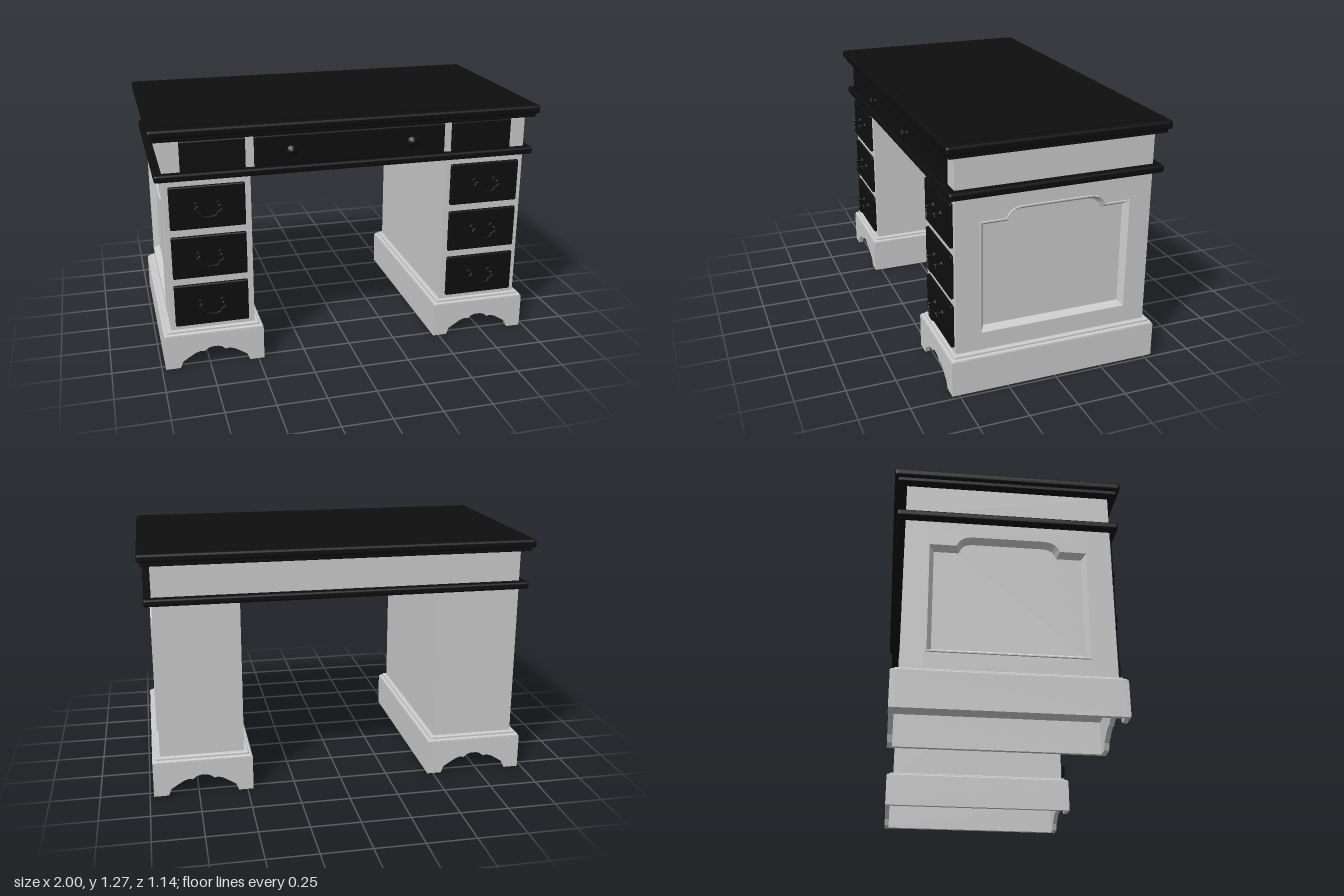
import * as THREE from 'three';
import { RoundedBoxGeometry } from 'three/addons/geometries/RoundedBoxGeometry.js';

const ZC = -0.005; // middle of the carcass in z

export function createModel() {
  const grey = new THREE.MeshStandardMaterial({ color: 0xcccccc });
  const greyThin = new THREE.MeshStandardMaterial({ color: 0xcccccc, side: THREE.DoubleSide });
  const black = new THREE.MeshStandardMaterial({ color: 0x0e0e0e });

  const add = (parent, name, geometry, material) => {
    const mesh = new THREE.Mesh(geometry, material);
    mesh.name = name;
    parent.add(mesh);
    return mesh;
  };
  // Box from its limits, with optional rounded edges
  const box = (parent, name, material, [x0, x1], [y0, y1], [z0, z1], r = 0) => {
    const size = [x1 - x0, y1 - y0, z1 - z0];
    const g = r ? new RoundedBoxGeometry(...size, 2, r) : new THREE.BoxGeometry(...size);
    g.translate((x0 + x1) / 2, (y0 + y1) / 2, (z0 + z1) / 2);
    return add(parent, name, g, material);
  };

  // Drawer front with a raised bead near its edge
  const drawerFront = (parent, name, xs, ys, zs) => {
    box(parent, name, black, xs, ys, zs, 0.007);
    const t = 0.006, m = 0.018, z = [zs[1] - 0.002, zs[1] + 0.003];
    const [x0, x1] = [xs[0] + m, xs[1] - m], [y0, y1] = [ys[0] + m, ys[1] - m];
    for (const y of [y0, y1 - t]) box(parent, name + 'Bead', black, [x0, x1], [y, y + t], z);
    for (const x of [x0, x1 - t]) box(parent, name + 'Bead', black, [x, x + t], [y0, y1], z);
  };

  // Swan neck drop handle on two posts
  const dropHandle = (parent, x, y, z) => {
    const handle = new THREE.Group();
    handle.name = 'dropHandle';
    handle.position.set(x, y, z);
    for (const s of [-1, 1]) {
      const rose = add(handle, 'handleRose', new THREE.CylinderGeometry(0.013, 0.016, 0.006, 16), black);
      const post = add(handle, 'handlePost', new THREE.CylinderGeometry(0.005, 0.005, 0.03, 10), black);
      const tip = add(handle, 'handleTip', new THREE.SphereGeometry(0.009, 12, 8), black);
      rose.rotation.x = post.rotation.x = Math.PI / 2;
      rose.position.set(s * 0.055, 0, 0.002);
      post.position.set(s * 0.055, 0, 0.015);
      tip.position.set(s * 0.055, 0, 0.03);
    }
    const half = [[0.055, 0], [0.066, -0.012], [0.056, -0.026], [0.043, -0.03], [0.036, -0.044], [0.018, -0.05]];
    const pts = [...half, ...half.map(([px, py]) => [-px, py]).reverse()]
      .map(([px, py]) => new THREE.Vector3(px, py, 0.028 - py * 0.2));
    add(handle, 'handleBail', new THREE.TubeGeometry(new THREE.CatmullRomCurve3(pts), 48, 0.005, 8), black);
    parent.add(handle);
  };

  // Arched panel outline in (z, y), counter-clockwise from +x
  const halfOutline = [[0.385, 0.295], [0.385, 0.87], [0.255, 0.87], [0.247, 0.885],
    [0.232, 0.903], [0.21, 0.916], [0.18, 0.922]];
  const outline = [...halfOutline, ...halfOutline.map(([z, y]) => [-z, y]).reverse()]
    .map(([z, y]) => new THREE.Vector2(z, y));
  const inset = (pts, d) => pts.map((p, i) => {
    const n = pts.length;
    const a = p.clone().sub(pts[(i + n - 1) % n]).normalize();
    const b = pts[(i + 1) % n].clone().sub(p).normalize();
    const na = new THREE.Vector2(-a.y, a.x), nb = new THREE.Vector2(-b.y, b.x);
    return p.clone().addScaledVector(na.clone().add(nb), d / (1 + na.dot(nb)));
  });
  // Place a flat (z, y) shape in the plane at x, facing +x
  const sideFace = (shape, x) => new THREE.ShapeGeometry(shape)
    .scale(-1, 1, 1).rotateY(Math.PI / 2).translate(x, 0, ZC);

  // Moulding: strips between successive insets of the outline
  const panelMoulding = () => {
    const rings = [[0, 0.938], [0, 0.949], [0.005, 0.949], [0.009, 0.942], [0.026, 0.915]];
    const pos = [];
    for (let k = 0; k < rings.length - 1; k++) {
      const [a, b] = [rings[k], rings[k + 1]].map(([d, x]) =>
        inset(outline, d).map((p) => [x, p.y, p.x + ZC]));
      a.forEach((p, i) => {
        const j = (i + 1) % a.length;
        pos.push(...p, ...b[i], ...a[j], ...a[j], ...b[i], ...b[j]);
      });
    }
    const g = new THREE.BufferGeometry();
    g.setAttribute('position', new THREE.Float32BufferAttribute(pos, 3));
    g.computeVertexNormals();
    return g;
  };

  // Scalloped end board of the plinth
  const endBoard = () => {
    const cut = [[0.18, 0], [0.166, 0.035], [0.155, 0.042], [0.13, 0.058], [0.1, 0.076],
      [0.075, 0.084], [0.055, 0.08], [0.035, 0.096], [0.015, 0.102]];
    const pts = [[-0.255, 0], [-0.255, 0.18], [0.255, 0.18], [0.255, 0],
      ...cut, ...cut.map(([x, y]) => [-x, y]).reverse()];
    const shape = new THREE.Shape(pts.map(([x, y]) => new THREE.Vector2(x, y)));
    return new THREE.ExtrudeGeometry(shape, { depth: 0.025, bevelEnabled: false });
  };

  const pedestal = () => {
    const g = new THREE.Group();
    // Carcass with a recessed panel on the outer side
    box(g, 'pedestalCarcass', grey, [0.51, 0.91], [0.2, 1.0], [-0.505, 0.5]);
    for (const z of [[-0.505, -0.4], [0.39, 0.5]]) box(g, 'sideStile', grey, [0.91, 0.94], [0.2, 1.0], z);
    const frame = new THREE.Shape([[-0.395, 0.2], [0.395, 0.2], [0.395, 1], [-0.395, 1]]
      .map(([z, y]) => new THREE.Vector2(z, y)));
    frame.holes.push(new THREE.Path(outline));
    add(g, 'sideFrame', sideFace(frame, 0.94), greyThin);
    add(g, 'sideMoulding', panelMoulding(), greyThin);
    add(g, 'sidePanel', sideFace(new THREE.Shape(inset(outline, 0.026)), 0.915), greyThin);

    // Hollow plinth on scalloped feet
    for (const z of [0.51, -0.545]) add(g, 'plinthEnd', endBoard(), grey).position.set(0.725, 0, z);
    for (const x of [0.47, 0.96]) box(g, 'plinthSide', grey, [x, x + 0.02], [0, 0.18], [-0.52, 0.51]);
    box(g, 'plinthCap', grey, [0.472, 0.978], [0.17, 0.19], [-0.543, 0.533], 0.008);
    box(g, 'plinthMoulding', grey, [0.488, 0.962], [0.18, 0.203], [-0.527, 0.518], 0.007);

    // Three drawers with drop handles
    for (const y of [0.225, 0.485, 0.745]) {
      drawerFront(g, 'pedestalDrawer', [0.54, 0.915], [y, y + 0.222], [0.495, 0.516]);
      dropHandle(g, 0.7275, y + 0.125, 0.516);
    }
    // Small upper drawer
    drawerFront(g, 'upperSideDrawer', [0.535, 0.852], [1.04, 1.196], [0.495, 0.527]);
    return g;
  };

  const desk = new THREE.Group();
  desk.name = 'pedestalDesk';
  const left = pedestal(), right = pedestal();
  left.name = 'leftPedestal';
  right.name = 'rightPedestal';
  right.scale.x = -1;
  desk.add(left, right);

  // Frieze and the moulding beneath it
  box(desk, 'waistMoulding', black, [-0.98, 0.98], [1.0, 1.038], [-0.547, 0.537], 0.012);
  box(desk, 'frieze', grey, [-0.94, 0.94], [1.03, 1.205], [-0.505, 0.5]);
  drawerFront(desk, 'centreDrawer', [-0.49, 0.49], [1.04, 1.196], [0.495, 0.527]);

  // Turned knobs on the centre drawer
  const knob = [[0, 0], [0.02, 0], [0.02, 0.004], [0.008, 0.008], [0.008, 0.018], [0.026, 0.026],
    [0.026, 0.03], [0.016, 0.036], [0.01, 0.042], [0, 0.044]].map(([r, h]) => new THREE.Vector2(r, h));
  for (const x of [-0.31, 0.31]) {
    const mesh = add(desk, 'knob', new THREE.LatheGeometry(knob, 20), black);
    mesh.rotation.x = Math.PI / 2;
    mesh.position.set(x, 1.12, 0.526);
  }

  // Desktop: stepped underside, rounded slab, slightly raised writing surface
  box(desk, 'topUnderMoulding', black, [-0.983, 0.983], [1.2, 1.235], [-0.55, 0.538], 0.006);
  box(desk, 'topSlab', black, [-1, 1], [1.22, 1.263], [-0.567, 0.555], 0.014);
  box(desk, 'writingSurface', black, [-0.955, 0.955], [1.255, 1.268], [-0.505, 0.493]);
  return desk;
}
